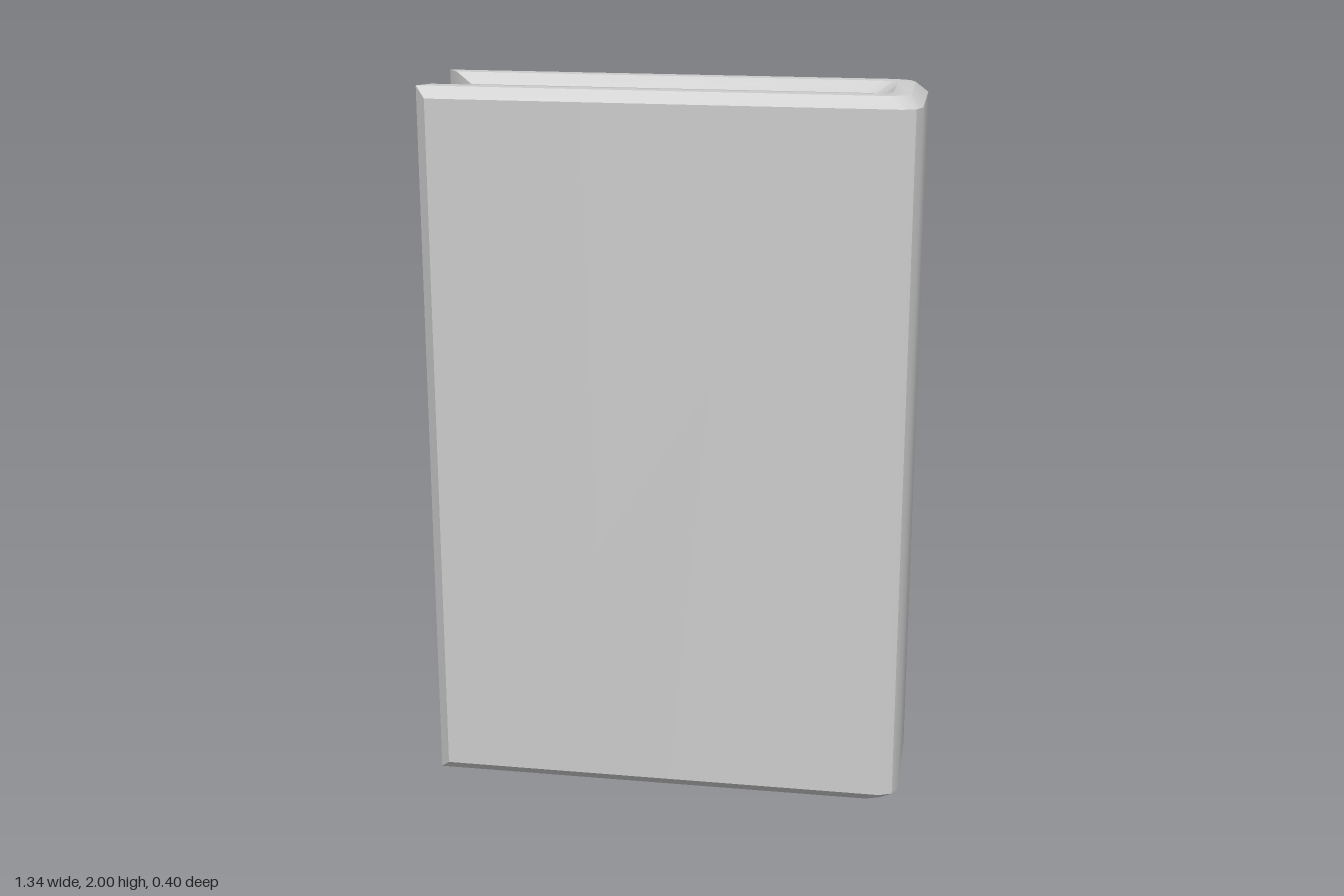
import * as THREE from 'three';
import { toCreasedNormals } from 'three/addons/utils/BufferGeometryUtils.js';

const HEIGHT = 2;
const CHAMFER = 0.03;

// Half outlines of the cover in plan (x, z), from fore-edge to spine, outside to inside
const OUTLINES = [
  [[-0.64, 0.2], [0.62, 0.2], [0.655, 0.185], [0.67, 0.15]],
  [[-0.67, 0.17], [0.58, 0.17], [0.62, 0.155], [0.637, 0.12]],
  [[-0.64, 0.13], [0.54, 0.13], [0.575, 0.12], [0.59, 0.09]],
  [[-0.59, 0.1], [0.5, 0.1], [0.535, 0.095], [0.56, 0.05]],
];
const PAGE_OUTLINE = [[-0.59, 0.1], [0.5, 0.1], [0.53, 0.092], [0.55, 0.07], [0.56, 0.04]];

// Adds the mirrored half to go round the spine to the other board
const mirrored = (half) => [...half, ...half.map(([x, z]) => [x, -z]).reverse()];

// U-shaped cover: a chamfered ring swept from one board round the spine to the other
function coverGeometry() {
  const plans = OUTLINES.map(mirrored);
  const rings = plans[0].map((_, s) => {
    const inset = (i) => (i === 0 || i === 3 ? CHAMFER : 0);
    const top = plans.map((p, i) => [p[s][0], HEIGHT - inset(i), p[s][1]]);
    const bottom = plans.map((p, i) => [p[s][0], inset(i), p[s][1]]).reverse();
    return [...top, ...bottom];
  });
  const positions = [];
  const quad = (a, b, c, d) => positions.push(...a, ...b, ...c, ...a, ...c, ...d);

  for (let s = 0; s < rings.length - 1; s++) {
    const p = rings[s];
    const q = rings[s + 1];
    for (let r = 0; r < 8; r++) {
      const n = (r + 1) % 8;
      quad(p[r], q[r], q[n], p[n]);
    }
  }
  // Pointed fore-edges of both boards
  const first = rings[0];
  const last = rings[rings.length - 1];
  for (let r = 0; r < 3; r++) {
    quad(first[r], first[r + 1], first[6 - r], first[7 - r]);
    quad(last[7 - r], last[6 - r], last[r + 1], last[r]);
  }
  const geometry = new THREE.BufferGeometry();
  geometry.setAttribute('position', new THREE.Float32BufferAttribute(positions, 3));
  return toCreasedNormals(geometry, 0.6);
}

// Page block with rounded corners at the spine, recessed at head and tail
function pagesGeometry() {
  const shape = new THREE.Shape(mirrored(PAGE_OUTLINE).map(([x, z]) => new THREE.Vector2(x, -z)));
  const geometry = new THREE.ExtrudeGeometry(shape, { depth: 1.89, bevelEnabled: false });
  geometry.rotateX(-Math.PI / 2);
  geometry.translate(0, 0.06, 0);
  return toCreasedNormals(geometry, 0.6);
}

export function createModel() {
  const book = new THREE.Group();
  book.name = 'book';
  const material = new THREE.MeshStandardMaterial({ color: 0xcccccc });
  const add = (name, geometry) => {
    const mesh = new THREE.Mesh(geometry, material);
    mesh.name = name;
    book.add(mesh);
  };
  add('cover', coverGeometry());
  add('pages', pagesGeometry());
  return book;
}
